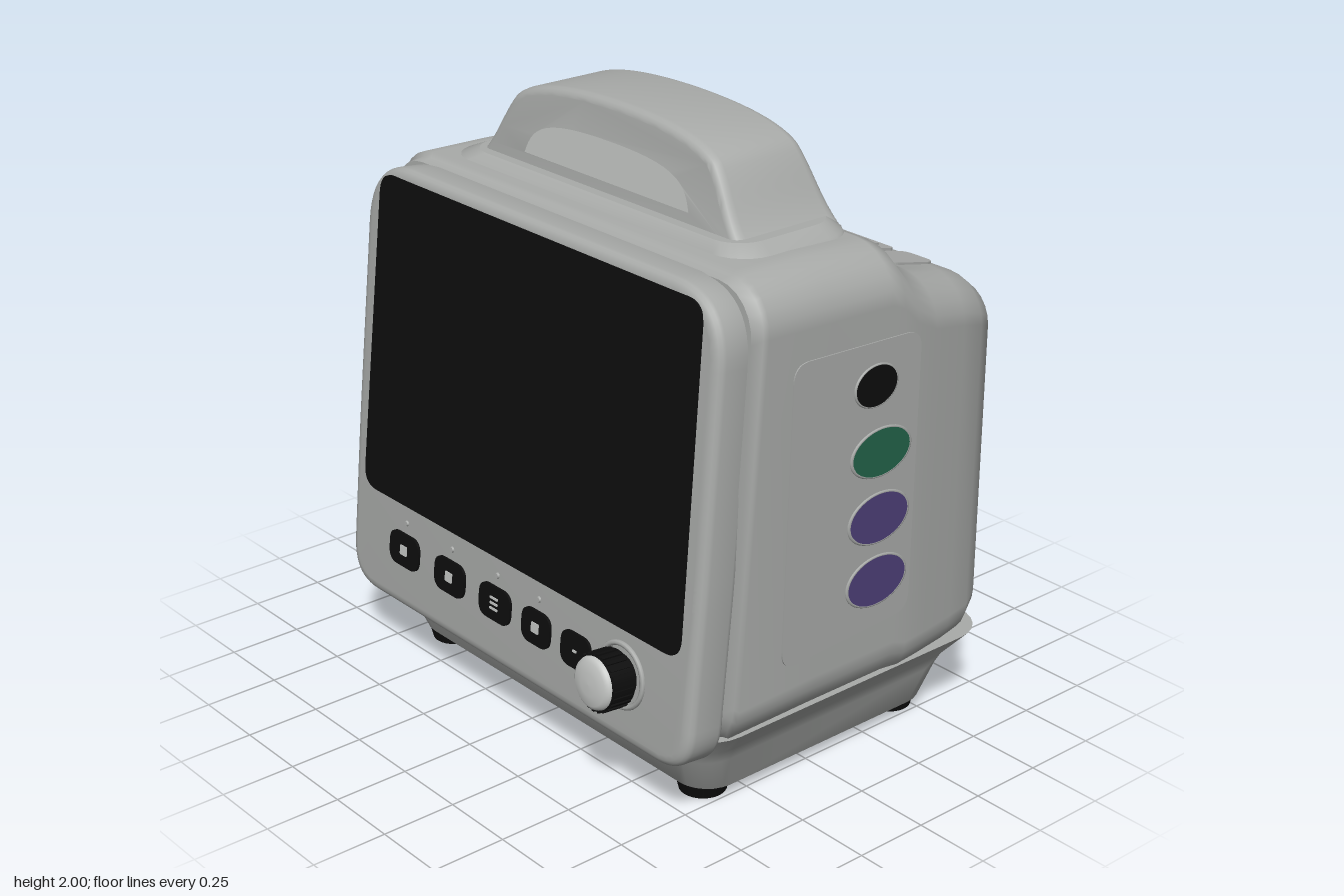
import * as THREE from 'three';
import { mergeVertices, toCreasedNormals } from 'three/addons/utils/BufferGeometryUtils.js';

const mat = (name, color) => Object.assign(new THREE.MeshStandardMaterial({ color }), { name });
const CX = 0.02; // the casing sits slightly off centre because of the side connector

// Closed outline with rounded corners; r is one radius or one per corner
function roundedShape(pts, r) {
  const s = new THREE.Shape();
  pts.forEach((p, i) => {
    const rad = Array.isArray(r) ? r[i] : r;
    const v = new THREE.Vector2(...p);
    const prev = new THREE.Vector2(...pts[(i + pts.length - 1) % pts.length]);
    const next = new THREE.Vector2(...pts[(i + 1) % pts.length]);
    const a = prev.sub(v).setLength(rad).add(v), b = next.sub(v).setLength(rad).add(v);
    if (i) s.lineTo(a.x, a.y); else s.moveTo(a.x, a.y);
    s.quadraticCurveTo(v.x, v.y, b.x, b.y);
  });
  s.closePath();
  return s;
}
const rect = (x, y, w, h, r) => roundedShape(
  [[x - w / 2, y - h / 2], [x + w / 2, y - h / 2], [x + w / 2, y + h / 2], [x - w / 2, y + h / 2]], r);

// Loft of rounded rectangles along z: [z, halfWidth, bottom, top, radius, tilt]
function loft(sections) {
  const n = 6, pos = [], idx = [], N = 4 * (n + 1);
  const ring = ([z, w, b, t, r, tilt = 0]) => {
    const out = [];
    for (let c = 0; c < 4; c++) for (let k = 0; k <= n; k++) {
      const a = (c + k / n - 1) * Math.PI / 2;
      const x = (c === 0 || c === 1 ? 1 : -1) * (w - r) + r * Math.cos(a);
      const y = (c === 1 || c === 2 ? t - r : b + r) + r * Math.sin(a);
      out.push(x, y, z + tilt * (1 - y));
    }
    return out;
  };
  sections.forEach(s => pos.push(...ring(s)));
  const last = sections.length - 1;
  for (let j = 0; j < last; j++) for (let i = 0; i < N; i++) {
    const a = j * N + i, b = j * N + (i + 1) % N;
    idx.push(a, b, b + N, a, b + N, a + N);
  }
  // end caps with their own vertices
  [0, last].forEach(e => {
    const o = pos.length / 3;
    pos.push(...ring(sections[e]));
    for (let i = 1; i < N - 1; i++) idx.push(o, ...(e ? [o + i, o + i + 1] : [o + i + 1, o + i]));
  });
  const g = new THREE.BufferGeometry();
  g.setAttribute('position', new THREE.Float32BufferAttribute(pos, 3));
  g.setIndex(idx);
  g.computeVertexNormals();
  return g;
}

export function createModel() {
  const casing = mat('casing grey', 0xa9aba9), black = mat('black', 0x0d0d0d);
  const green = mat('green', 0x23634a), purple = mat('purple', 0x4e4078), icon = mat('icon grey', 0xc4c6c4);
  const root = new THREE.Group();
  root.name = 'portableMonitor';

  const add = (parent, name, geo, m, x = 0, y = 0, z = 0) => {
    const mesh = new THREE.Mesh(geo, m);
    mesh.name = name;
    mesh.position.set(x, y, z);
    parent.add(mesh);
    return mesh;
  };
  const group = (name, x, y, z) => {
    const g = new THREE.Group();
    g.name = name;
    g.position.set(x, y, z);
    root.add(g);
    return g;
  };
  const plate = (parent, name, shape, m, z = 0, depth = 0.008) => add(parent, name,
    new THREE.ExtrudeGeometry(shape, { depth, bevelEnabled: false, curveSegments: 10 }), m, 0, 0, z);
  const disc = (parent, name, r0, r1, h, m, x, y, z) => add(parent, name,
    new THREE.CylinderGeometry(r1, r0, h, 32).rotateX(Math.PI / 2), m, x, y, z + h / 2);

  // Main housing, stepping down to the rear
  add(root, 'housing', loft([
    [-0.725, 0.66, 0.36, 1.32, 0.08], [-0.716, 0.73, 0.31, 1.37, 0.1], [-0.68, 0.785, 0.27, 1.42, 0.12],
    [-0.6, 0.83, 0.24, 1.475, 0.14], [-0.5, 0.85, 0.23, 1.515, 0.15], [-0.36, 0.87, 0.23, 1.545, 0.15],
    [-0.27, 0.88, 0.23, 1.59, 0.15], [-0.21, 0.88, 0.23, 1.67, 0.17], [-0.16, 0.88, 0.23, 1.69, 0.17],
    [0.1, 0.88, 0.23, 1.7, 0.17, 0.02], [0.375, 0.88, 0.23, 1.7, 0.16, 0.08],
    [0.383, 0.865, 0.245, 1.685, 0.15, 0.08], [0.43, 0.86, 0.25, 1.68, 0.15, 0.09],
  ]), casing, CX);

  // Foot section under the housing
  add(root, 'base', loft([
    [0.03, 0.72, -0.42, 0.53, 0.1], [0.045, 0.745, -0.44, 0.55, 0.11], [0.17, 0.785, -0.49, 0.59, 0.12],
    [0.22, 0.81, -0.51, 0.61, 0.13], [0.29, 0.86, -0.54, 0.69, 0.14],
  ]).rotateX(-Math.PI / 2), casing, CX);
  for (const x of [-0.64, 0.64]) for (const z of [0.35, -0.455])
    add(root, 'foot', new THREE.CylinderGeometry(0.085, 0.075, 0.04, 28), black, CX + x, 0.02, z);

  // Handle with its plinth; depth grows towards the bottom
  add(root, 'handlePlinth', loft([
    [1.66, 0.72, -0.3, 0.2, 0.12], [1.7, 0.7, -0.28, 0.19, 0.12], [1.725, 0.64, -0.24, 0.17, 0.1],
  ]).rotateX(-Math.PI / 2), casing, CX);
  const hs = new THREE.Shape();
  hs.moveTo(-0.68, 1.66);
  hs.bezierCurveTo(-0.56, 1.73, -0.54, 1.84, -0.47, 1.92);
  hs.bezierCurveTo(-0.4, 1.98, -0.2, 2, 0, 2);
  hs.bezierCurveTo(0.2, 2, 0.4, 1.98, 0.47, 1.92);
  hs.bezierCurveTo(0.54, 1.84, 0.56, 1.73, 0.68, 1.66);
  hs.closePath();
  const hole = new THREE.Path();
  hole.moveTo(-0.42, 1.735);
  hole.bezierCurveTo(-0.39, 1.86, -0.34, 1.905, 0, 1.905);
  hole.bezierCurveTo(0.34, 1.905, 0.39, 1.86, 0.42, 1.735);
  hole.closePath();
  hs.holes.push(hole);
  const handle = new THREE.ExtrudeGeometry(hs, {
    depth: 0.26, bevelThickness: 0.03, bevelSize: 0.025, bevelOffset: -0.025, bevelSegments: 4, curveSegments: 14 });
  handle.translate(0, 0, -0.13);
  const hp = handle.attributes.position;
  for (let i = 0; i < hp.count; i++) hp.setZ(i, hp.getZ(i) * (1 + 0.9 * (2 - hp.getY(i))));
  handle.deleteAttribute('uv');
  add(root, 'handle', toCreasedNormals(handle, 0.7), casing, CX, 0, 0.007);

  // Sloped front: bezel, screen and controls, all in the tilted face plane
  const front = group('frontPanel', CX, 0, 0.64);
  front.rotation.x = -0.0968;
  const bezel = new THREE.ExtrudeGeometry(roundedShape(
    [[-0.865, 0.225], [0.865, 0.225], [0.865, 0.8], [0.85, 1.7], [-0.85, 1.7], [-0.865, 0.8]],
    [0.15, 0.15, 0.05, 0.22, 0.22, 0.05]), {
    depth: 0.085, bevelThickness: 0.03, bevelSize: 0.035, bevelOffset: -0.035, bevelSegments: 4, curveSegments: 12 });
  bezel.translate(0, 0, -0.115);
  add(front, 'bezel', toCreasedNormals(bezel, 0.6), casing);
  plate(front, 'screen', roundedShape(
    [[-0.8, 0.588], [0.8, 0.588], [0.775, 1.665], [-0.775, 1.665]], 0.07), black, -0.002, 0.006);
  [-0.555, -0.305, -0.065, 0.145, 0.34].forEach((x, i) => {
    const w = i > 2 ? 0.14 : 0.16;
    plate(front, 'button', rect(x, 0.435, w, 0.115, 0.045), black, 0, 0.009);
    if (i === 2) for (const d of [-0.018, 0, 0.018])
      plate(front, 'buttonIcon', rect(x, 0.435 + d, 0.04, 0.008, 0.003), icon, 0.009, 0.003);
    else plate(front, 'buttonIcon', rect(x, 0.435, i === 4 ? 0.02 : 0.036, i === 4 ? 0.008 : 0.034, 0.004), icon, 0.009, 0.003);
    if (i < 4) disc(front, 'indicator', 0.01, 0.008, 0.006, casing, x, 0.53, 0);
  });
  add(front, 'knobRing', new THREE.TorusGeometry(0.1, 0.009, 8, 40), casing, 0.55, 0.442, 0.002);
  // Knob: fluted black grip with a domed grey face
  disc(front, 'knobGrip', 0.088, 0.088, 0.085, black, 0.55, 0.442, 0.02);
  for (let i = 0; i < 24; i++) {
    const a = i * Math.PI / 12;
    add(front, 'knobRib', new THREE.BoxGeometry(0.01, 0.01, 0.075).rotateZ(a), black,
      0.55 + 0.088 * Math.cos(a), 0.442 + 0.088 * Math.sin(a), 0.065);
  }
  disc(front, 'knobStem', 0.07, 0.07, 0.03, black, 0.55, 0.442, 0);
  const cap = new THREE.LatheGeometry([[0.084, 0], [0.08, 0.01], [0.068, 0.019], [0.035, 0.024], [0, 0.025]]
    .map(p => new THREE.Vector2(...p)), 36).rotateX(Math.PI / 2);
  add(front, 'knobFace', cap, icon, 0.55, 0.442, 0.104);

  // Side panels with oval ports
  for (const s of [1, -1]) {
    const side = group(s > 0 ? 'leftPanel' : 'rightPanel', CX + s * 0.88, 0, 0);
    side.rotation.y = s * Math.PI / 2;
    const X = z => -s * z;
    plate(side, 'portPanel', roundedShape(
      [[0.26, 0.47], [-0.27, 0.5], [-0.28, 1.42], [0.235, 1.44]].map(([z, y]) => [X(z), y])
        .sort((a, b) => 0)[s > 0 ? 'slice' : 'reverse'](), 0.06), casing, -0.003, 0.007);
    [[-0.095, 1.29, 0.085, 0.065, black], [-0.125, 1.07, 0.12, 0.076, green],
      [-0.125, 0.855, 0.122, 0.08, purple], [-0.125, 0.645, 0.122, 0.08, purple]].forEach(([z, y, a, b, m], i) => {
      if (s < 0) { a = i ? 0.095 : 0.08; b = i ? 0.08 : 0.07; }
      if (s < 0 && i === 0) return;
      add(side, 'portRim', new THREE.TorusGeometry(1, 0.07, 8, 40).scale(a, b, 0.08), casing, X(z), y, 0.003);
      disc(side, 'port', 1, 1, 0.006, m, X(z), y, 0.002).scale.set(a, b, 1);
    });
    // Round connector standing out on one side only
    if (s < 0) {
      disc(side, 'connectorFlange', 0.1, 0.092, 0.02, casing, X(-0.09), 1.3, 0);
      disc(side, 'connectorBarrel', 0.075, 0.072, 0.05, casing, X(-0.09), 1.3, 0);
      disc(side, 'connectorSocket', 0.045, 0.045, 0.004, black, X(-0.09), 1.3, 0.049);
    }
  }

  // Rear: cover plates, two round bosses, slots
  const back = group('rearPanel', CX, 0, -0.725);
  back.rotation.y = Math.PI;
  const covers = [[-0.02, 0.76, 1.0, 0.36], [0.16, 1.11, 0.34, 0.25], [-0.32, 1.16, 0.14, 0.2],
    [0.52, 1.12, 0.1, 0.22], [0, 0.53, 0.98, 0.08], [0, 0.43, 0.1, 0.14]];
  covers.forEach(([x, y, w, h]) => plate(back, 'coverPlate', rect(x, y, w, h, 0.03), casing, -0.002, 0.008));
  for (const x of [-0.14, 0.13]) {
    disc(back, 'boss', 0.08, 0.074, 0.016, casing, x, 0.76, 0);
    add(back, 'bossRing', new THREE.TorusGeometry(0.082, 0.007, 8, 32), casing, x, 0.76, 0.007);
  }
  plate(back, 'slotFrame', rect(-0.63, 0.77, 0.06, 0.21, 0.015), casing, -0.004, 0.008);
  plate(back, 'slot', rect(-0.63, 0.77, 0.025, 0.15, 0.008), black, 0.003, 0.004);
  disc(back, 'socket', 0.014, 0.014, 0.006, black, 0.6, 0.85, 0);
  disc(back, 'terminal', 0.03, 0.026, 0.014, casing, 0.48, 0.53, 0);

  // Raised strip and corner pads on the rear slope
  const slope = group('rearTop', CX, 1.529, -0.44);
  slope.rotation.x = -Math.PI / 2 - 0.21;
  plate(slope, 'strip', rect(0, 0.02, 1.06, 0.12, 0.02), casing, 0, 0.009);
  plate(slope, 'stripInset', rect(0, 0.02, 0.98, 0.07, 0.015), casing, 0.009, 0.005);
  for (const s of [-1, 1]) plate(slope, 'cornerPad', rect(s * 0.62, 0, 0.13, 0.2, 0.04), casing, -0.001, 0.007);

  return root;
}
